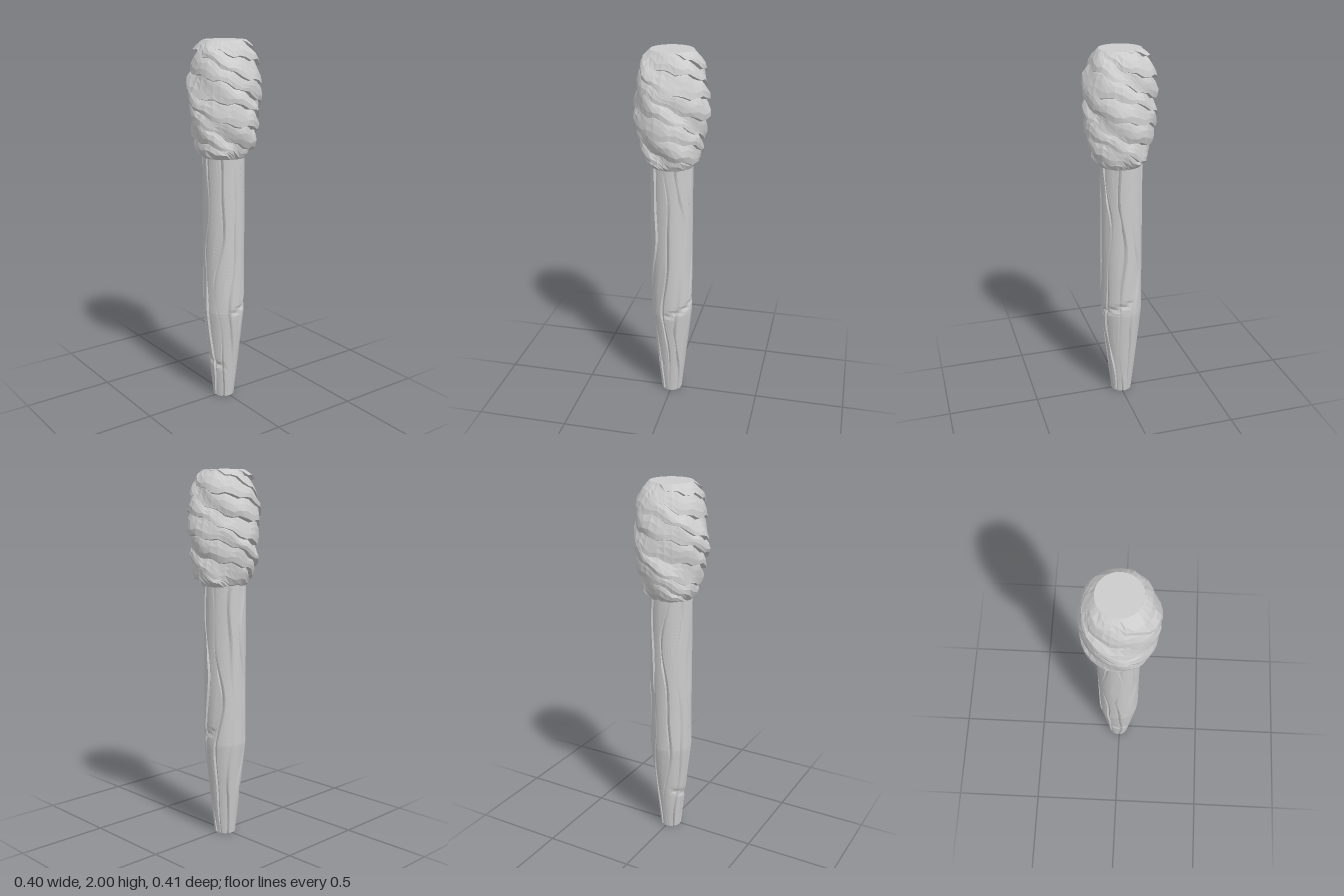
import * as THREE from 'three';

const TAU = Math.PI * 2;
const material = new THREE.MeshStandardMaterial({ color: 0xcccccc, flatShading: true, side: THREE.DoubleSide });

// Piecewise-linear radius from [height, radius] pairs
function radiusAt(profile, y) {
  for (let i = 1; i < profile.length; i++) {
    const [y0, r0] = profile[i - 1], [y1, r1] = profile[i];
    if (y <= y1) return r0 + (r1 - r0) * Math.max(0, (y - y0) / (y1 - y0));
  }
  return profile[profile.length - 1][1];
}

// Skin a grid of points, leaving out collapsed quads
function gridSurface(cols, rows, pointAt) {
  const positions = [], indices = [];
  for (let j = 0; j <= rows; j++)
    for (let i = 0; i <= cols; i++) positions.push(...pointAt(i, j));
  const height = k => positions[k * 3 + 1];
  for (let j = 0; j < rows; j++)
    for (let i = 0; i < cols; i++) {
      const a = j * (cols + 1) + i, b = a + 1, c = a + cols + 1, d = c + 1;
      if (height(a) !== height(c)) indices.push(a, b, c);
      if (height(b) !== height(d)) indices.push(b, d, c);
    }
  const geometry = new THREE.BufferGeometry();
  geometry.setAttribute('position', new THREE.Float32BufferAttribute(positions, 3));
  geometry.setIndex(indices);
  geometry.computeVertexNormals();
  return geometry;
}

function addMesh(group, name, geometry) {
  const mesh = new THREE.Mesh(geometry, material);
  mesh.name = name;
  group.add(mesh);
  return mesh;
}

// Tapered wooden shaft with wandering carved grain
function buildHandle() {
  const group = new THREE.Group();
  group.name = 'handle';
  const profile = [[0, 0.058], [0.25, 0.085], [0.52, 0.114], [1.45, 0.114]];
  const grooves = 9, rows = 72;
  // Columns within one sector: [fraction of the sector, groove depth]
  const sector = [[0, 0], [0.07, 0.014], [0.2, 0.004], [0.28, 0], [0.46, 0], [0.64, 0], [0.82, 0]];
  const point = (i, j) => {
    const y = 1.45 * j / rows;
    const k = Math.floor(i / sector.length) % grooves;
    const [fraction, depth] = sector[i % sector.length];
    const wander = 0.2 * Math.sin(y * 6.5 + k * 0.55) + 0.09 * Math.sin(y * 13 + k * 2.1);
    const a = (k + fraction) / grooves * TAU + wander * (k % 2 ? 1 : 0.75);
    // Each groove fades in and out along the shaft
    const strength = THREE.MathUtils.clamp(0.75 + 0.7 * Math.sin(y * 4.3 + k * 2.4), 0, 1);
    let r = radiusAt(profile, y) - depth * strength;
    // Slanting notches: low on the front, higher on the back
    for (const [angle, level, slope] of [[0, 0.22, -0.03], [2.4, 0.56, 0.04]]) {
      const off = Math.atan2(Math.sin(a - angle), Math.cos(a - angle));
      const reach = THREE.MathUtils.clamp((1.2 - Math.abs(off)) * 3, 0, 1);
      r -= 0.009 * reach * Math.exp(-(((y - level - slope * off) / 0.014) ** 2));
    }
    return [r * Math.sin(a), y, r * Math.cos(a)];
  };
  const cols = grooves * sector.length;
  addMesh(group, 'shaft', gridSurface(cols, rows, point));

  // Flat foot following the carved outline
  addMesh(group, 'shaftFoot', gridSurface(cols, 1, (i, j) => {
    const [x, , z] = point(i, 0);
    return j ? [x, 0.001, z] : [0, 0, 0];
  }));
  group.position.set(-0.006, 0, 0.002);
  return group;
}

// Cloth strips wound in overlapping helical bands around the head
function buildHead() {
  const group = new THREE.Group();
  group.name = 'wrappedHead';
  const bottom = 1.39, top = 2;
  const profile = [[1.39, 0.115], [1.42, 0.14], [1.48, 0.157], [1.57, 0.176], [1.68, 0.187],
    [1.8, 0.184], [1.89, 0.17], [1.95, 0.15], [1.985, 0.128], [2, 0.112]];
  const cols = 30, starts = 4, pitch = 0.088;
  // One band from its lower lip upward: [fraction of the pitch, offset]
  const band = [[0, -0.013], [0.06, 0.009], [0.35, 0.008], [0.68, 0], [0.92, -0.009]];
  const bands = Math.ceil((top - bottom) / pitch) + starts + 2;
  const point = (i, j) => {
    const a = i / cols * TAU;
    const [fraction, offset] = band[j % band.length];
    const s = (Math.floor(j / band.length) - 1 + fraction) * pitch;
    const raw = bottom + s - starts * pitch * a / TAU;
    const ripple = 0.016 * Math.sin(3 * a + raw * 17) + 0.009 * Math.sin(7 * a - raw * 31);
    const y = THREE.MathUtils.clamp(raw + ripple, bottom, top);
    const fade = THREE.MathUtils.clamp(Math.min(y - bottom, top - y) / 0.03, 0, 1);
    const bulge = 0.005 * Math.sin(2 * a + raw * 23) + 0.004 * Math.sin(5 * a + raw * 41);
    const lip = offset * (1 + 0.45 * Math.sin(4 * a + raw * 12));
    const r = radiusAt(profile, y) + (lip + bulge) * fade;
    return [r * Math.sin(a), y, r * Math.cos(a)];
  };
  addMesh(group, 'clothWrap', gridSurface(cols, bands * band.length, point));

  // Flat top and the underside where the cloth meets the shaft
  const cap = new THREE.CircleGeometry(0.112, cols);
  addMesh(group, 'headTop', cap.clone().rotateX(-Math.PI / 2).translate(0, top, 0));
  addMesh(group, 'headUnderside', cap.rotateX(Math.PI / 2).translate(0, bottom, 0));
  return group;
}

export function createModel() {
  const model = new THREE.Group();
  model.name = 'torch';
  model.add(buildHandle(), buildHead());
  return model;
}
